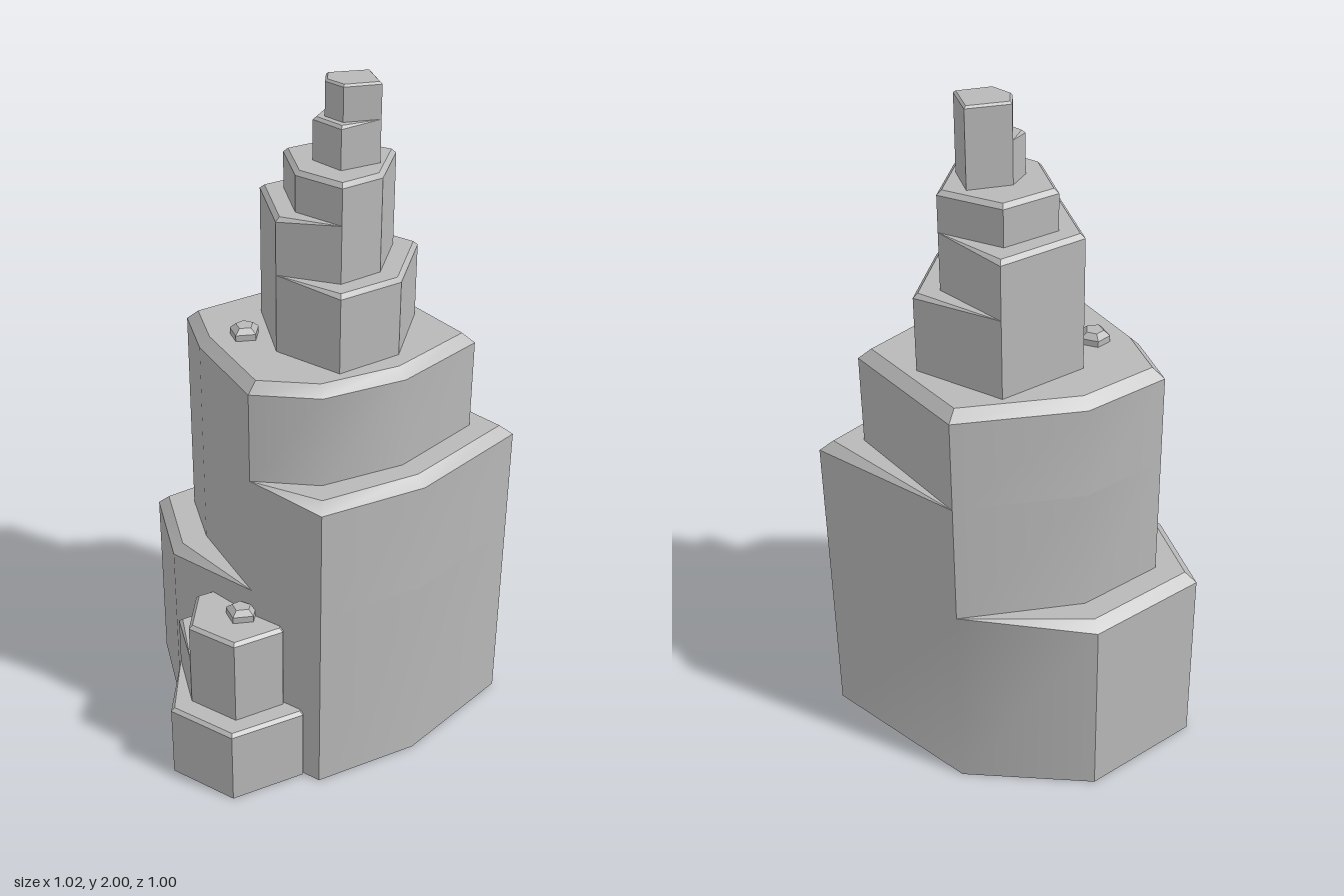
import * as THREE from 'three';
import { toCreasedNormals } from 'three/addons/utils/BufferGeometryUtils.js';

const stone = new THREE.MeshStandardMaterial({ color: 0xb8b8b8 });
stone.name = 'grey stone';

// Prism over an [x, z] outline (counter-clockwise from above); only the corners listed in `cut` are chamfered
function tier(name, y0, y1, outline, bevel, cut = outline.map((_, i) => i)) {
  const n = outline.length;
  const low = [], mid = [], top = [];
  outline.forEach(([x, z], i) => {
    const before = outline[(i + n - 1) % n], after = outline[(i + 1) % n];
    const n1 = new THREE.Vector2(before[1] - z, x - before[0]).normalize();
    const n2 = new THREE.Vector2(z - after[1], after[0] - x).normalize();
    const b = cut.includes(i) ? bevel : 0;
    const k = b / (1 + n1.dot(n2));
    low.push([x, y0, z]);
    mid.push([x, y1 - b, z]);
    top.push([x - (n1.x + n2.x) * k, y1, z - (n1.y + n2.y) * k]);
  });

  const pos = [];
  const tri = (a, b, c) => pos.push(...a, ...b, ...c);
  const same = (a, b) => a.every((v, i) => v === b[i]);
  // Walls and chamfers
  for (let i = 0; i < n; i++) {
    const j = (i + 1) % n;
    tri(low[i], low[j], mid[j]);
    tri(low[i], mid[j], mid[i]);
    if (!same(mid[j], top[j])) tri(mid[i], mid[j], top[j]);
    if (!same(mid[i], top[i])) tri(mid[i], top[j], top[i]);
  }
  // Flat caps
  const cap = (ring, up) => {
    const flat = ring.map(p => new THREE.Vector2(p[0], p[2]));
    for (const [a, b, c] of THREE.ShapeUtils.triangulateShape(flat, [])) {
      const facesDown = THREE.ShapeUtils.area([flat[a], flat[b], flat[c]]) > 0;
      if (facesDown === up) tri(ring[a], ring[c], ring[b]);
      else tri(ring[a], ring[b], ring[c]);
    }
  };
  cap(top, true);
  if (y0 === 0) cap(low, false);

  const geometry = new THREE.BufferGeometry();
  geometry.setAttribute('position', new THREE.Float32BufferAttribute(pos, 3));
  const mesh = new THREE.Mesh(toCreasedNormals(geometry, 0.66), stone);
  mesh.name = name;
  return mesh;
}

function cluster(name, ...parts) {
  const group = new THREE.Group();
  group.name = name;
  group.add(...parts);
  return group;
}

export function createModel() {
  // Main column: a left ledge, a higher right ledge and a plateau
  const back = [-0.01, -0.5], front = [0.04, 0.29];
  const outerLeft = [[-0.37, -0.33], [-0.51, 0.02], [-0.29, 0.23]];
  const outerRight = [[0.28, 0.295], [0.44, 0.01], [0.51, -0.4]];
  const coreLeft = [[-0.29, -0.26], [-0.39, -0.01], [-0.24, 0.13]];
  const coreRight = [[0.22, 0.2], [0.35, -0.02], [0.4, -0.33]];
  const column = cluster('mainColumn',
    tier('leftLedge', 0, 0.6, [back, ...outerLeft, front, ...outerRight], 0.03, [1, 2, 3]),
    tier('rightLedge', 0.6, 0.97, [back, ...coreLeft, front, ...outerRight], 0.03, [5, 6, 7]),
    tier('plateau', 0.97, 1.27, [back, ...coreLeft, front, ...coreRight], 0.03));

  // Spire standing on the plateau
  const spireLeft = [[-0.09, -0.365], [-0.195, -0.115], [-0.01, 0.08]];
  const spireRight = [[0.21, 0.1], [0.285, -0.09], [0.19, -0.35]];
  const neckLeft = [[-0.055, -0.29], [-0.125, -0.13], [0.01, 0.015]];
  const neckRight = [[0.17, 0.035], [0.215, -0.095], [0.14, -0.295]];
  const spire = cluster('spire',
    tier('spireRightLedge', 1.27, 1.5, [...spireLeft, ...spireRight], 0.012, [3, 4, 5]),
    tier('spireLeftLedge', 1.5, 1.665, [...spireLeft, ...neckRight], 0.012, [0, 1, 2]),
    tier('spireNeck', 1.665, 1.78, [...neckLeft, ...neckRight], 0.012));

  // Small peak
  const peakBack = [[0.165, -0.165], [0.075, -0.255], [-0.01, -0.165]];
  const peak = cluster('peak',
    tier('peakLedge', 1.78, 1.9, [...peakBack, [0, -0.085], [0.11, -0.053]], 0.008, [3, 4]),
    tier('peakTip', 1.9, 2, [...peakBack, [0.025, -0.105], [0.095, -0.085]], 0.006));

  // Low outcrop against the front wall
  const outcrop = cluster('frontOutcrop',
    tier('outcropBase', 0, 0.24,
      [[-0.11, 0.1], [-0.225, 0.3], [-0.11, 0.5], [0.11, 0.5], [0.225, 0.3], [0.11, 0.1]], 0.01, [2, 3, 4]),
    tier('outcropLedge', 0.24, 0.4,
      [[-0.11, 0.1], [-0.225, 0.3], [-0.08, 0.437], [0.08, 0.437], [0.155, 0.3], [0.08, 0.17]], 0.01, [1]),
    tier('outcropTop', 0.4, 0.515,
      [[-0.08, 0.17], [-0.155, 0.3], [-0.08, 0.437], [0.08, 0.437], [0.155, 0.3], [0.08, 0.17]], 0.01));

  // Loose pebbles
  const pebbles = cluster('pebbles',
    tier('plateauPebble', 1.27, 1.303,
      [[-0.125, 0], [-0.175, 0.007], [-0.187, 0.055], [-0.14, 0.092], [-0.098, 0.053]], 0.015),
    tier('outcropPebble', 0.515, 0.55,
      [[0.045, 0.275], [-0.01, 0.28], [-0.028, 0.325], [0.02, 0.357], [0.064, 0.317]], 0.015));

  const model = cluster('rockSpire', column, spire, peak, outcrop, pebbles);
  return model;
}
